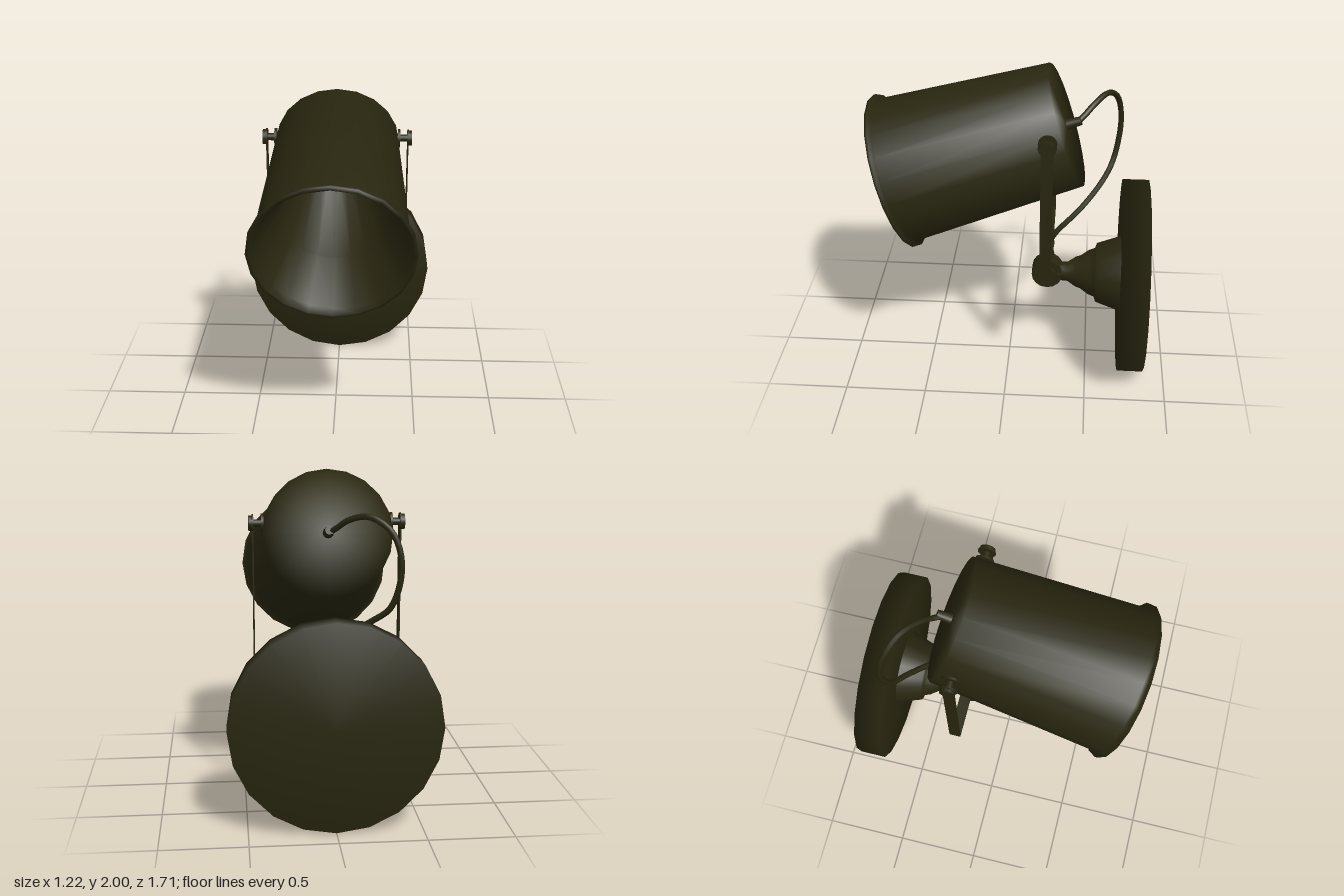
import * as THREE from 'three';

export function createModel() {
  const model = new THREE.Group();
  model.name = 'wallSpotlight';
  const darkOlive = new THREE.MeshStandardMaterial({ color: 0x28260f });
  darkOlive.name = 'darkOlive';

  const add = (name, geometry, x = 0, y = 0, z = 0) => {
    const mesh = new THREE.Mesh(geometry, darkOlive);
    mesh.name = name;
    mesh.position.set(x, y, z);
    model.add(mesh);
    return mesh;
  };
  const lathe = (pts, sides = 20) =>
    new THREE.LatheGeometry(pts.map(([r, h]) => new THREE.Vector2(r, h)), sides);
  // cylinder lying along x
  const pin = (name, r, length, x, y, z) =>
    add(name, new THREE.CylinderGeometry(r, r, length, 16).rotateZ(Math.PI / 2), x, y, z);

  const jointY = 0.62, pivotY = 1.69, pivotZ = -0.24, armX = 0.435;
  const tilt = Math.PI / 2 + 0.32;

  // wall plate
  add('wallPlate', lathe([[0, -0.86], [0.61, -0.86], [0.61, -0.70], [0.2, -0.70]])
    .rotateX(Math.PI / 2), 0, 0.61, 0);
  // stepped neck
  add('neck', lathe([[0.24, -0.71], [0.235, -0.69], [0.187, -0.55], [0.155, -0.54],
    [0.14, -0.5], [0.105, -0.45], [0.095, -0.42], [0.062, -0.37], [0.055, -0.28]])
    .rotateX(Math.PI / 2), 0, 0.615, 0);

  // shade: outer wall, flared lip and inner reflector
  add('shade', lathe([[0, 0], [0.38, 0], [0.451, 1.06], [0.482, 1.075], [0.482, 1.092],
    [0.46, 1.097], [0.435, 1.06], [0.32, 0.75], [0.17, 0.1], [0, 0.1]])
    .rotateX(tilt), 0, 1.64, -0.34);

  // swivel joint
  pin('jointBarrel', 0.097, 0.11, 0, jointY, pivotZ);
  pin('jointScrew', 0.035, 0.24, 0, jointY, pivotZ);
  for (const s of [-1, 1]) pin('jointWasher', 0.06, 0.03, s * 0.075, jointY, pivotZ);
  add('stem', lathe([[0.035, 0.7], [0.035, 0.735], [0.043, 0.745], [0.036, 0.775],
    [0.043, 0.83], [0, 0.83]], 16), 0, 0, pivotZ);

  // U-shaped strap with rounded ends
  add('strapBottom', new THREE.BoxGeometry(armX * 2, 0.008, 0.07), 0, 0.834, pivotZ);
  for (const s of [-1, 1]) {
    add('strapArm', new THREE.BoxGeometry(0.008, pivotY - 0.83, 0.07),
      s * armX, (pivotY + 0.83) / 2, pivotZ);
    pin('strapEnd', 0.054, 0.008, s * armX, pivotY, pivotZ);
    pin('pivotShaft', 0.022, 0.09, s * 0.41, pivotY, pivotZ);
    pin('pivotFlange', 0.055, 0.014, s * 0.38, pivotY, pivotZ);
    pin('pivotKnob', 0.046, 0.02, s * 0.45, pivotY, pivotZ);
  }

  // cable fitting on the back of the shade
  add('cableFitting', new THREE.CylinderGeometry(0.033, 0.026, 0.09, 12).rotateX(tilt),
    0, 1.655, -0.38);

  // looping cable
  const path = new THREE.CatmullRomCurve3([
    [0, 1.655, -0.39], [-0.03, 1.675, -0.43], [-0.10, 1.735, -0.5], [-0.21, 1.762, -0.58],
    [-0.33, 1.68, -0.645], [-0.38, 1.5, -0.672], [-0.33, 1.26, -0.635],
    [-0.22, 1.16, -0.57], [-0.07, 1.04, -0.44], [0, 0.9, -0.29], [0, 0.83, -0.25],
  ].map((p) => new THREE.Vector3(...p)));
  add('cable', new THREE.TubeGeometry(path, 40, 0.018, 8));

  return model;
}
